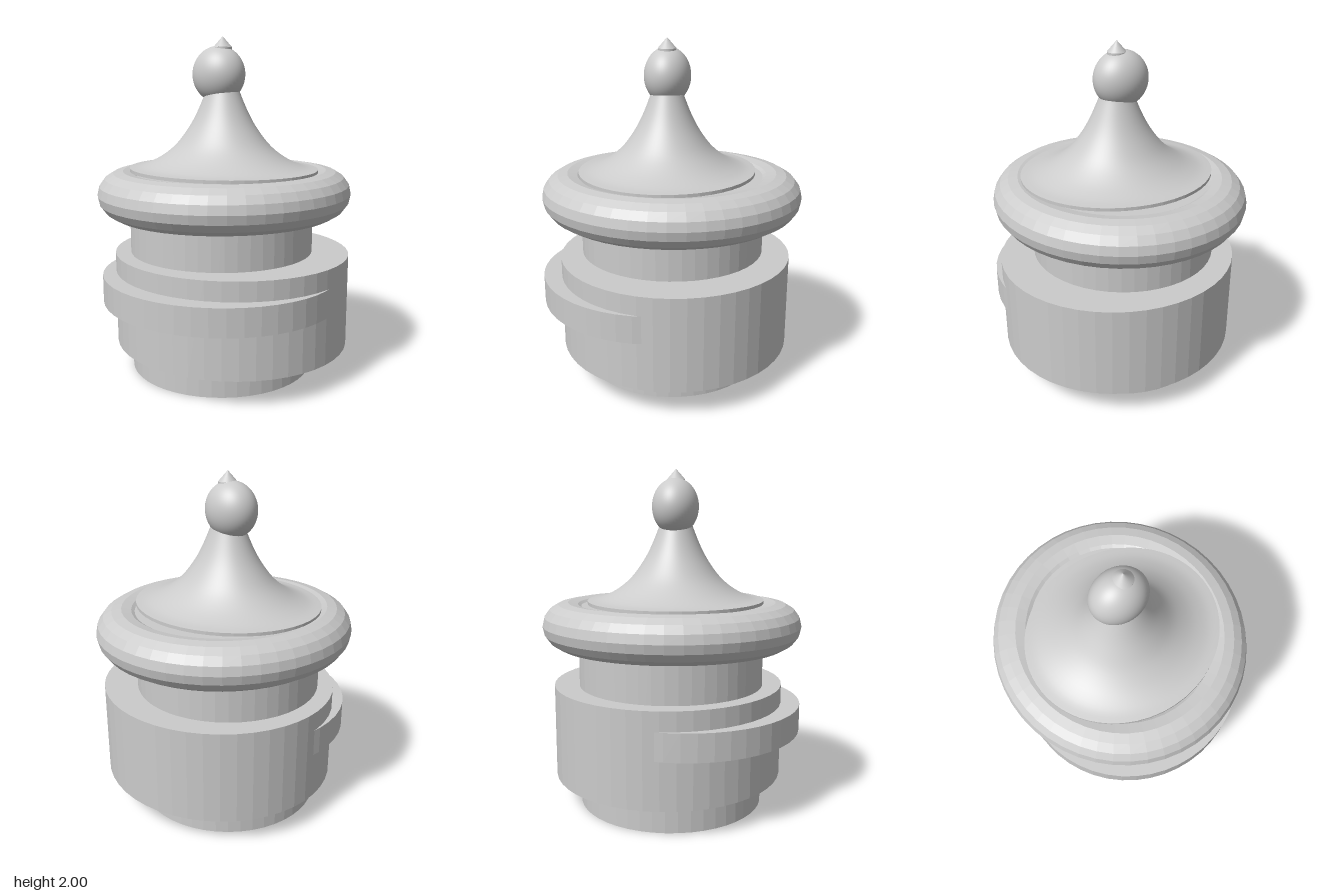
import * as THREE from 'three';

const flat = new THREE.MeshStandardMaterial({ color: 0xcccccc, flatShading: true });
const smooth = new THREE.MeshStandardMaterial({ color: 0xcccccc });

export function createModel() {
  const model = new THREE.Group();

  function add(name, geometry, material, x, y, z) {
    const mesh = new THREE.Mesh(geometry, material);
    mesh.name = name;
    mesh.position.set(x, y, z);
    model.add(mesh);
    return mesh;
  }

  // Upright drum with an elliptical plan, from y0 to y1
  function drum(name, rx, rz, y0, y1, x, z) {
    const geometry = new THREE.CylinderGeometry(1, 1, y1 - y0, 48);
    geometry.scale(rx, 1, rz);
    return add(name, geometry, flat, x, (y0 + y1) / 2, z);
  }

  // Body: inner core, wide collar and a band pushed out towards the front
  drum('core', 0.555, 0.555, 0, 1.2, -0.028, 0);
  drum('collar', 0.718, 0.693, 0.17, 0.725, 0.027, -0.027);
  drum('frontBand', 0.717, 0.693, 0.45, 0.612, 0.027, 0.086);

  // Rounded rim under the roof
  const rim = new THREE.TorusGeometry(0.6, 0.148, 16, 48);
  rim.rotateX(Math.PI / 2);
  rim.scale(1, 0.136 / 0.148, 1.039);
  add('rim', rim, flat, -0.002, 1.086, 0);

  // Flared roof with a thin vertical lip
  const flare = new THREE.SplineCurve([
    [0.58, 1.235], [0.5, 1.247], [0.4, 1.288], [0.3, 1.36],
    [0.22, 1.455], [0.16, 1.555], [0.105, 1.68], [0.095, 1.72],
  ].map(([r, y]) => new THREE.Vector2(r, y)));
  const roof = new THREE.LatheGeometry(flare.getPoints(28), 64);
  roof.scale(1, 1, 0.905);
  add('roof', roof, smooth, 0, 0, 0.026);
  drum('roofLip', 0.58, 0.525, 1.215, 1.234, 0, 0.026);

  // Ball on the neck, slightly off centre
  const ball = new THREE.SphereGeometry(0.165, 48, 32);
  ball.scale(1, 1, 0.83);
  add('ball', ball, smooth, -0.027, 1.782, 0.028);

  // Pointed tip on a short round base
  drum('tipBase', 0.055, 0.053, 1.9, 1.938, 0, 0.026);
  add('tip', new THREE.ConeGeometry(0.055, 0.062, 32), smooth, 0, 1.969, 0.026);

  return model;
}
